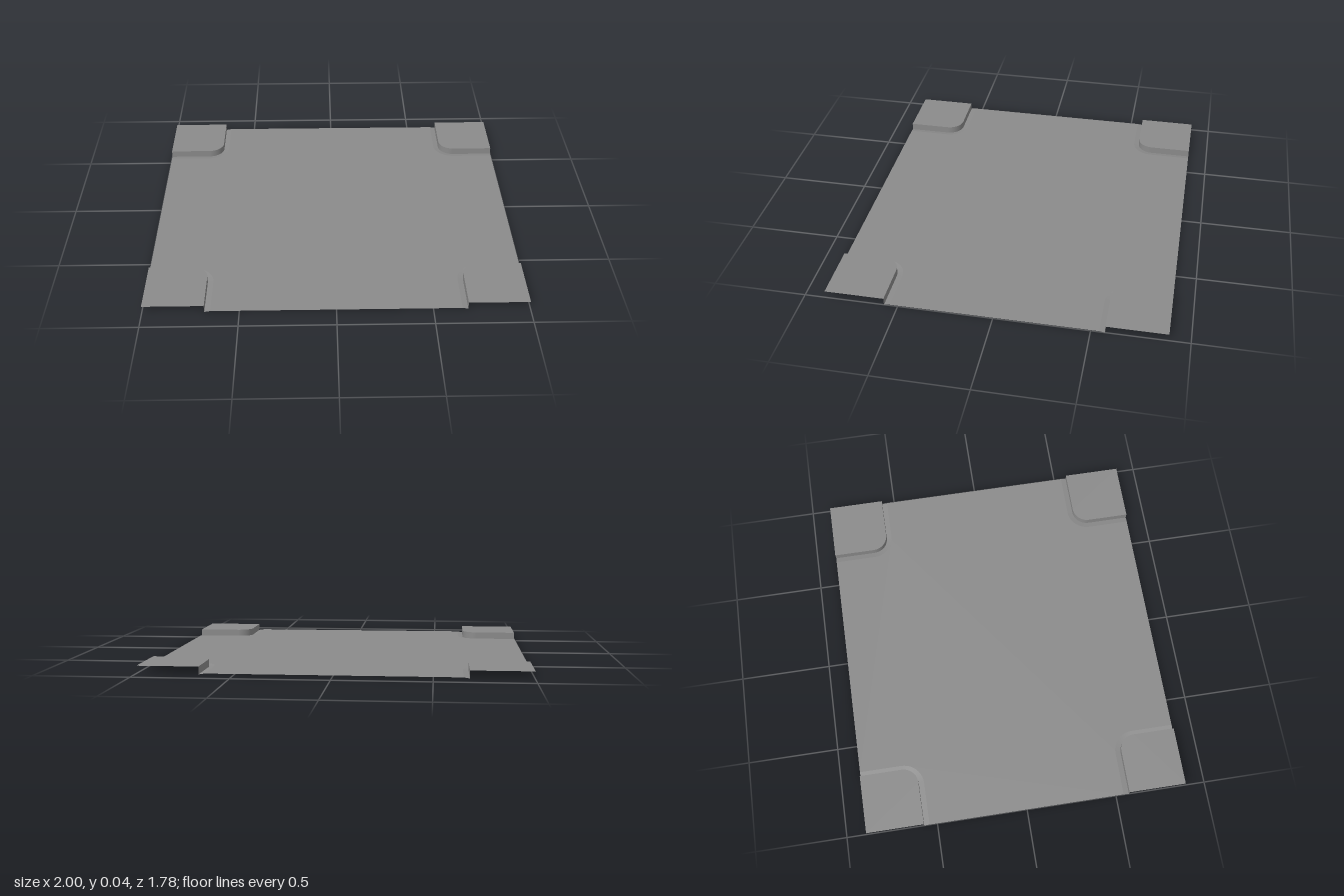
import * as THREE from 'three';

const HALF_X = 1, HALF_Z = 0.89;       // tile half size
const CURB_X = 0.68, CURB_Z = 0.573;   // inner faces of the kerbs
const RADIUS = 0.085, GUTTER = 0.03;   // kerb corner radius, gutter width
const ROAD_Y = 0.005, TOP_Y = 0.04;    // the gutter dips from the road to y = 0
const ARC_STEPS = 10;

const material = new THREE.MeshStandardMaterial({ color: 0x8b8b8b, side: THREE.DoubleSide });

// Kerb line of one corner as [x, z] points, moved outward onto the road by d
function kerbLine(sx, sz, d) {
  const cx = CURB_X + RADIUS, cz = CURB_Z + RADIUS, r = RADIUS + d;
  const line = [[CURB_X - d, HALF_Z]];
  for (let i = 0; i <= ARC_STEPS; i++) {
    const a = (i / ARC_STEPS) * Math.PI / 2;
    line.push([cx - r * Math.cos(a), cz - r * Math.sin(a)]);
  }
  line.push([HALF_X, CURB_Z - d]);
  const placed = line.map(([x, z]) => [x * sx, z * sz]);
  return sx * sz < 0 ? placed.reverse() : placed;  // keeps all corners wound alike
}

// Smooth strip from an outer line to an inner line at another height
function strip(outer, outerY, inner, innerY) {
  const positions = [], index = [];
  outer.forEach(([x, z], i) => {
    positions.push(x, outerY, z, inner[i][0], innerY, inner[i][1]);
    if (i > 0) {
      const a = 2 * (i - 1);
      index.push(a, a + 1, a + 2, a + 1, a + 3, a + 2);
    }
  });
  const geometry = new THREE.BufferGeometry();
  geometry.setAttribute('position', new THREE.Float32BufferAttribute(positions, 3));
  geometry.setIndex(index);
  geometry.computeVertexNormals();
  return geometry;
}

// Flat horizontal sheet with the given outline
function sheet(outline, y) {
  const shape = new THREE.Shape(outline.map(([x, z]) => new THREE.Vector2(x, -z)));
  return new THREE.ShapeGeometry(shape).rotateX(-Math.PI / 2).translate(0, y, 0);
}

function addPart(parent, name, geometry) {
  const mesh = new THREE.Mesh(geometry, material);
  mesh.name = name;
  parent.add(mesh);
}

export function createModel() {
  const model = new THREE.Group();
  model.name = 'roadCrossing';
  const corners = [[1, 1, 'frontLeft'], [1, -1, 'backLeft'], [-1, -1, 'backRight'], [-1, 1, 'frontRight']];
  const roadOutline = [];

  for (const [sx, sz, side] of corners) {
    const kerb = kerbLine(sx, sz, 0);
    const gutterEdge = kerbLine(sx, sz, GUTTER);
    roadOutline.push(...gutterEdge);

    // Raised pavement with its kerb face and a gutter falling towards it
    const corner = new THREE.Group();
    corner.name = side + 'Corner';
    addPart(corner, 'pavement', sheet([...kerb, [sx * HALF_X, sz * HALF_Z]], TOP_Y));
    addPart(corner, 'kerbFace', strip(kerb, 0, kerb, TOP_Y));
    addPart(corner, 'gutter', strip(gutterEdge, ROAD_Y, kerb, 0));
    model.add(corner);
  }

  // Cross-shaped road surface between the gutters
  addPart(model, 'road', sheet(roadOutline, ROAD_Y));
  return model;
}
